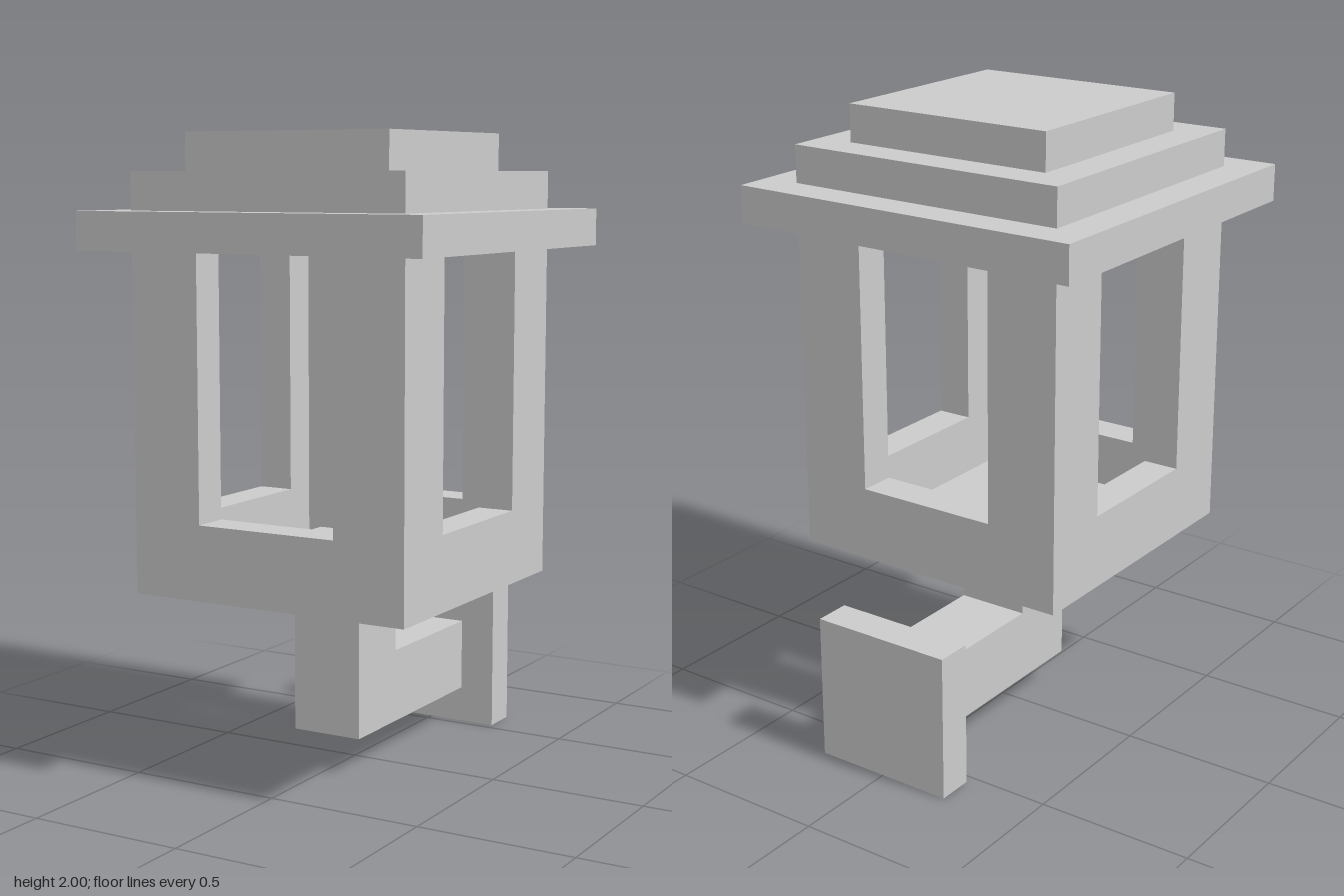
import * as THREE from 'three';

// One grid unit: the lantern is 17 units tall
const U = 2 / 17;
const CZ = 0.5; // lantern axis in z, in grid units

const material = new THREE.MeshStandardMaterial({ color: 0xcccccc, flatShading: true });

function toShape(points) {
  return new THREE.Shape(points.map(([x, y]) => new THREE.Vector2(x, y)));
}

const square = (h) => [[-h, -h], [h, -h], [h, h], [-h, h]];

function addMesh(parent, name, geometry) {
  const mesh = new THREE.Mesh(geometry, material);
  mesh.name = name;
  parent.add(mesh);
  return mesh;
}

// Box given by half width, y range and z range
function addBox(parent, name, halfX, y0, y1, z0, z1) {
  const mesh = addMesh(parent, name, new THREE.BoxGeometry(2 * halfX, y1 - y0, z1 - z0));
  mesh.position.set(0, (y0 + y1) / 2, (z0 + z1) / 2);
  return mesh;
}

// Plan outline raised from y0 to y1 around the lantern axis
function addPrism(parent, name, shape, y0, y1) {
  const geometry = new THREE.ExtrudeGeometry(shape, { depth: y1 - y0, bevelEnabled: false });
  geometry.rotateX(-Math.PI / 2);
  const mesh = addMesh(parent, name, geometry);
  mesh.position.set(0, y0, CZ);
  return mesh;
}

export function createModel() {
  const model = new THREE.Group();
  model.name = 'wallLantern';

  // Wall plate and the L-shaped arm
  addBox(model, 'wallPlate', 2, 0, 4, -5.5, -4.5);
  const profile = toShape([[-4.5, 1], [1.5, 1], [1.5, 5], [-0.5, 5], [-0.5, 3], [-4.5, 3]]);
  const arm = new THREE.ExtrudeGeometry(profile, { depth: 2, bevelEnabled: false });
  arm.rotateY(-Math.PI / 2).translate(1, 0, 0);
  addMesh(model, 'bracketArm', arm);

  // Lamp base inside the open lower frame
  addBox(model, 'lampBase', 2, 5, 6, CZ - 2, CZ + 2);
  const ring = toShape(square(4));
  ring.holes.push(toShape(square(3)));
  addPrism(model, 'lowerFrame', ring, 5, 7);

  // Four angled corner posts
  const corner = toShape([[2, 4], [2, 3], [3, 3], [3, 2], [4, 2], [4, 4]]);
  for (let i = 0; i < 4; i++) {
    addPrism(model, 'cornerPost', corner, 7, 14).rotation.y = (i * Math.PI) / 2;
  }

  // Stepped roof
  [5, 4, 3].forEach((half, i) => {
    addBox(model, 'roofTier', half, 14 + i, 15 + i, CZ - half, CZ + half);
  });

  model.scale.setScalar(U);
  return model;
}
